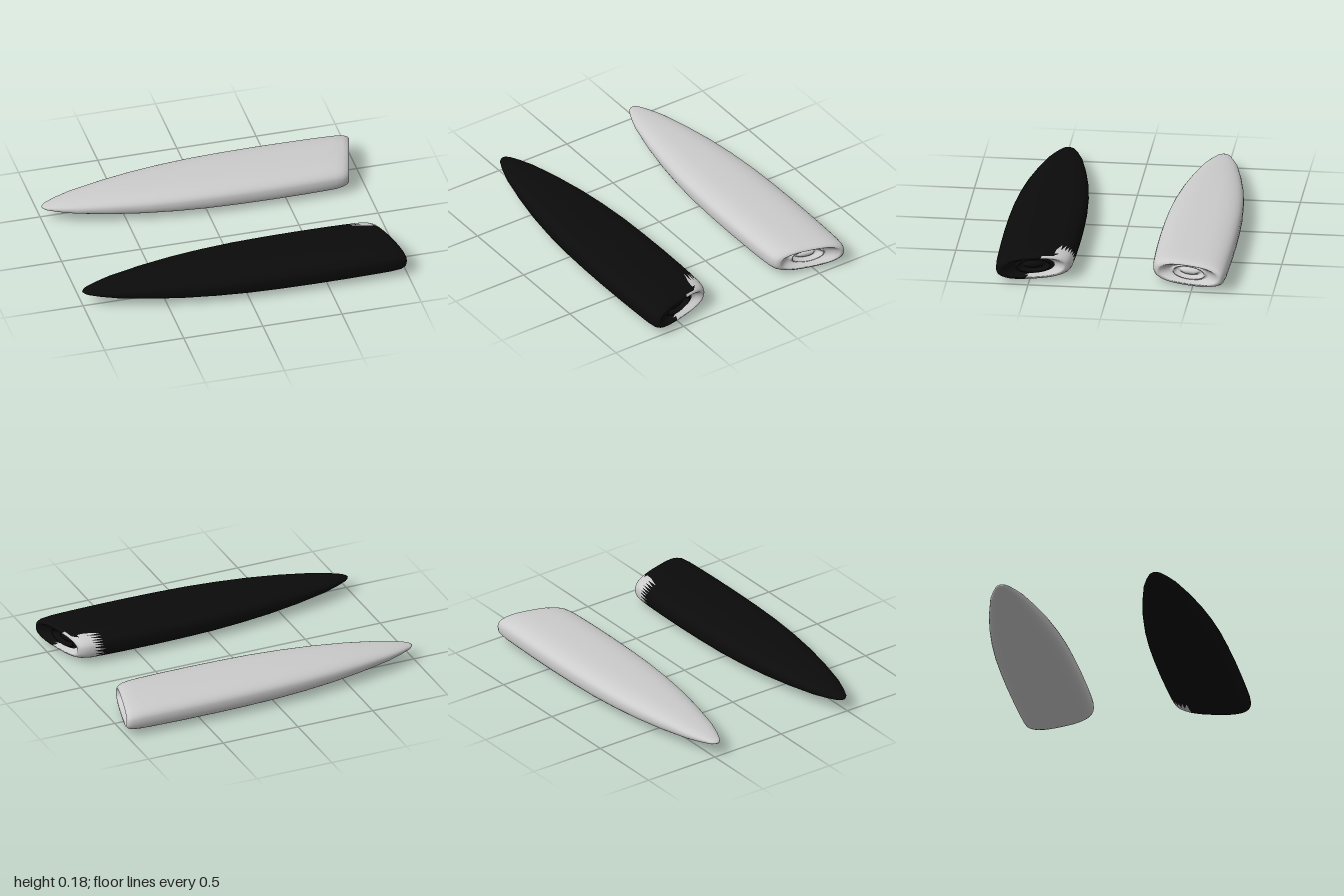
import * as THREE from 'three';

const SEG = 40;        // points around each cross-section
const CENTRE_Z = 0.476;
const CENTRE_Y = 0.088;
const SLANT = 0.27;    // tail face leans so that the outer edge reaches further back

// Cross-sections: [x, half width, half height, squareness, share of slant]
const HULL = [
  [-0.99, 0.018, 0.008, 2.2, 0], [-0.97, 0.038, 0.015, 2.2, 0],
  [-0.9, 0.07, 0.027, 2.3, 0], [-0.8, 0.105, 0.041, 2.4, 0],
  [-0.6, 0.151, 0.06, 2.5, 0], [-0.4, 0.187, 0.072, 2.6, 0],
  [-0.2, 0.212, 0.079, 2.7, 0], [0, 0.227, 0.084, 2.8, 0],
  [0.2, 0.234, 0.087, 2.8, 0], [0.4, 0.237, 0.088, 2.8, 0],
  [0.6, 0.236, 0.088, 2.8, 0.1], [0.75, 0.233, 0.087, 2.8, 0.4],
  [0.85, 0.23, 0.085, 2.8, 0.8], [0.905, 0.224, 0.081, 2.7, 1],
  [0.932, 0.213, 0.073, 2.6, 1], [0.945, 0.197, 0.062, 2.5, 1],
];
// Dished tail face, raised oval ring, socket and centre plug
const TAIL = [
  [0.94, 0.182, 0.057, 2.4, 1], [0.918, 0.155, 0.052, 2.3, 1],
  [0.9, 0.125, 0.048, 2.1, 1], [0.895, 0.108, 0.045, 2, 1],
  [0.908, 0.104, 0.043, 2, 1], [0.91, 0.096, 0.038, 2, 1],
  [0.89, 0.09, 0.034, 2, 1], [0.87, 0.078, 0.029, 2, 1],
  [0.87, 0.06, 0.022, 2, 1], [0.888, 0.052, 0.018, 2, 1],
  [0.895, 0.03, 0.01, 2, 1],
];

// Loft one closed pod; side = 1 puts it in front, -1 behind
function podGeometry(side, isPatch) {
  const rings = [...HULL, ...TAIL];
  const pos = [];
  const power = (v, n) => Math.sign(v) * Math.pow(Math.abs(v), 2 / n);
  for (const [x, w, h, n, s] of rings) {
    for (let j = 0; j < SEG; j++) {
      const a = (j / SEG) * Math.PI * 2;
      const out = w * power(Math.cos(a), n);
      pos.push(x + SLANT * s * out, h * power(Math.sin(a), n), side * out);
    }
  }
  const nose = rings.length * SEG;
  const plug = nose + 1;
  pos.push(-1, 0, 0, 0.897, 0, 0);

  const main = [], patch = [];
  const tri = (ring, a, b, c) => {
    const mean = (k) => (pos[a * 3 + k] + pos[b * 3 + k] + pos[c * 3 + k]) / 3;
    const list = isPatch(ring, mean(0), mean(1), mean(2) * side) ? patch : main;
    if (side > 0) list.push(a, c, b);
    else list.push(a, b, c);
  };
  const last = rings.length - 1;
  for (let j = 0; j < SEG; j++) {
    const k = (j + 1) % SEG;
    tri(0, nose, k, j);
    for (let i = 0; i < last; i++) {
      const p = i * SEG, q = p + SEG;
      tri(i, p + j, p + k, q + j);
      tri(i, p + k, q + k, q + j);
    }
    tri(last, last * SEG + j, last * SEG + k, plug);
  }
  const geo = new THREE.BufferGeometry();
  geo.setAttribute('position', new THREE.Float32BufferAttribute(pos, 3));
  geo.setIndex([...main, ...patch]);
  geo.addGroup(0, main.length, 0);
  geo.addGroup(main.length, patch.length, 1);
  geo.computeVertexNormals();
  return geo;
}

export function createModel() {
  const group = new THREE.Group();
  const grey = new THREE.MeshStandardMaterial({ color: 0xcccccc });
  const black = new THREE.MeshStandardMaterial({ color: 0x0b0b0b });

  // Bare patch around the inner corner of the front pod's tail
  const barePatch = (ring, x, y, out) => {
    if (ring >= HULL.length + 2) return false;
    if (ring >= HULL.length - 2) return out + y * 0.8 < 0;
    return x > 0.77 && out < -0.135;
  };
  const addPod = (name, side, isPatch, material) => {
    const pod = new THREE.Mesh(podGeometry(side, isPatch), [material, grey]);
    pod.name = name;
    pod.position.set(0, CENTRE_Y, side * CENTRE_Z);
    group.add(pod);
  };
  addPod('frontPod', 1, barePatch, black);
  addPod('rearPod', -1, () => false, grey);
  return group;
}
